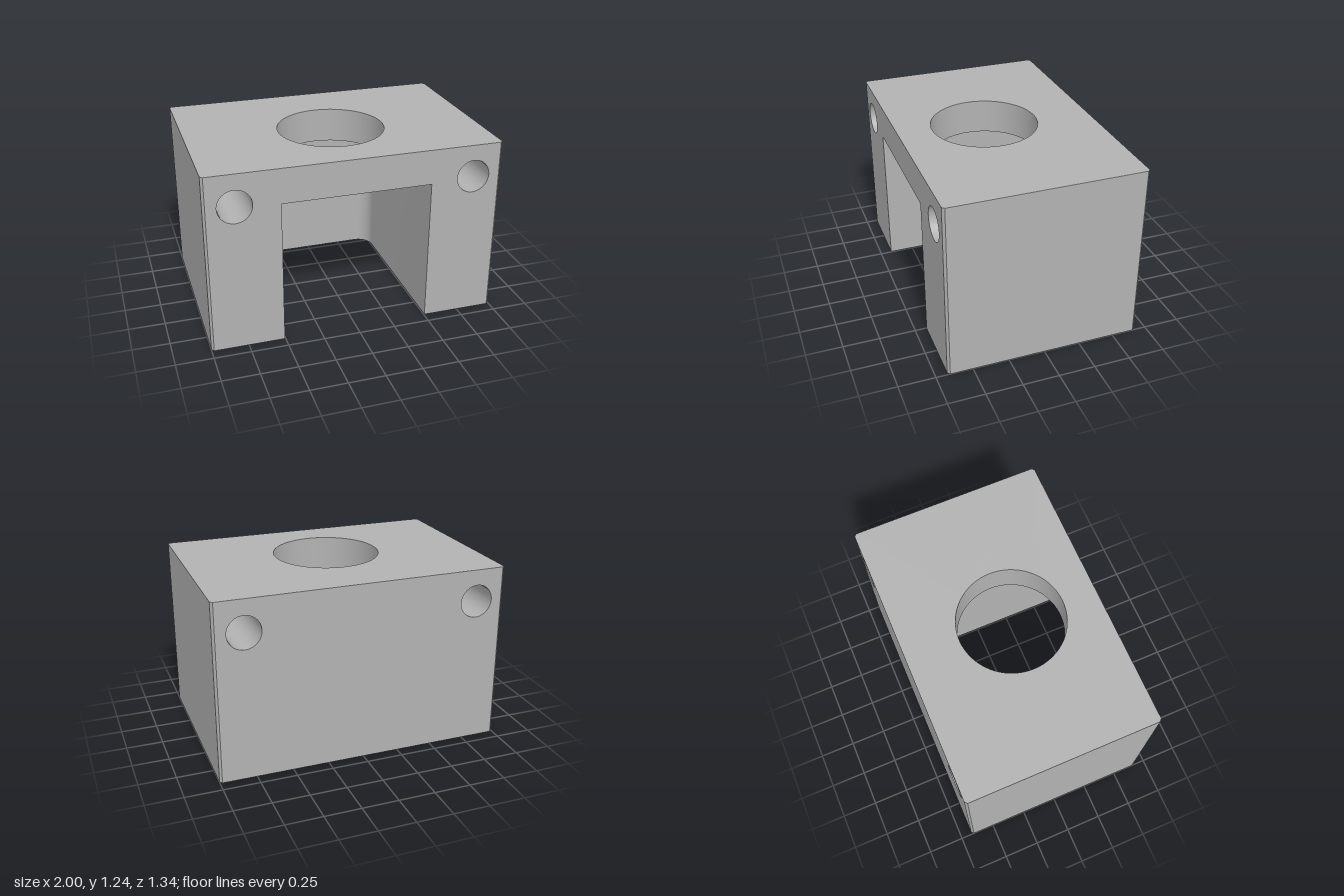
import * as THREE from 'three';
import { toCreasedNormals } from 'three/addons/utils/BufferGeometryUtils.js';

const W = 1, D = 0.67, H = 1.24, C = 0.016;               // half width, half depth, height, corner chamfer
const SLOT = { x: 0.505, top: 1.0, back: -0.537, r: 0.107 };
const BORE = { z: 0.067, r: 0.367 };
const BOLT = { x: 0.8, y: 1.02, r: 0.113 };
const SCREW = { x: 0.767, z: [-0.435, 0.312], r: 0.065, depth: 0.4 };

const v = (x, y) => new THREE.Vector2(x, y);

// Flat face from an outline and round holes [x, y, r]
function face(points, holes = []) {
  const shape = new THREE.Shape(points);
  for (const [x, y, r] of holes) shape.holes.push(new THREE.Path().absarc(x, y, r, 0, Math.PI * 2, true));
  return new THREE.ShapeGeometry(shape, 32);
}

// Upright wall along an (x, z) path, facing the path's right-hand side
function wall(path, y0, y1) {
  const pos = [];
  for (let i = 0; i < path.length - 1; i++) {
    const a = path[i], b = path[i + 1];
    pos.push(a.x, y0, a.y, b.x, y0, b.y, b.x, y1, b.y, a.x, y0, a.y, b.x, y1, b.y, a.x, y1, a.y);
  }
  const g = new THREE.BufferGeometry();
  g.setAttribute('position', new THREE.Float32BufferAttribute(pos, 3));
  return toCreasedNormals(g, 0.5);
}

// Inward-facing lining of a round hole along y, with an optional closed end
function lining(r, y0, y1, closed = false) {
  const profile = [v(r, y1), v(r, y0)];
  if (closed) profile.unshift(v(0, y1));
  return toCreasedNormals(new THREE.LatheGeometry(profile, 64), 0.5);
}

export function createModel() {
  const group = new THREE.Group();
  const grey = new THREE.MeshStandardMaterial({ color: 0xb2b2b2 });
  grey.name = 'plain grey';
  const add = (name, geometry) => {
    const mesh = new THREE.Mesh(geometry, grey);
    mesh.name = name;
    group.add(mesh);
  };

  // Slot path in (x, z): in along one leg, round the back corners, out along the other
  const { x: sx, back, r } = SLOT;
  const slot = [v(-sx, D)];
  for (const side of [-1, 1]) {
    for (let i = 0; i <= 10; i++) {
      const a = (side < 0 ? Math.PI : Math.PI * 1.5) + (i / 10) * Math.PI / 2;
      slot.push(v(side * (sx - r) + r * Math.cos(a), back + r + r * Math.sin(a)));
    }
  }
  slot.push(v(sx, D));

  // Chamfered ends in (x, z)
  const leftEnd = [v(W - C, D), v(W, D - C), v(W, C - D), v(W - C, -D)];
  const rightEnd = leftEnd.map(p => v(-p.x, -p.y));
  const bolts = [-1, 1].map(s => [s * BOLT.x, BOLT.y, BOLT.r]);
  const screws = [-1, 1].flatMap(s => SCREW.z.map(z => [s * SCREW.x, z, SCREW.r]));

  // Outer skin
  add('leftSide', wall(leftEnd, 0, H));
  add('rightSide', wall(rightEnd, 0, H));
  add('topFace', face([...leftEnd, ...rightEnd].map(p => v(p.x, -p.y)), [[0, -BORE.z, BORE.r]])
    .rotateX(-Math.PI / 2).translate(0, H, 0));
  add('bottomFace', face([...slot, ...leftEnd, ...rightEnd], screws).rotateX(Math.PI / 2));
  const e = W - C;
  add('frontFace', face([v(-e, 0), v(-sx, 0), v(-sx, SLOT.top), v(sx, SLOT.top), v(sx, 0), v(e, 0), v(e, H), v(-e, H)], bolts)
    .translate(0, 0, D));
  add('backFace', face([v(-e, 0), v(e, 0), v(e, H), v(-e, H)], bolts).rotateY(Math.PI).translate(0, 0, -D));

  // Slot between the legs
  add('slotWalls', wall(slot, 0, SLOT.top));
  add('slotCeiling', face(slot, [[0, BORE.z, BORE.r]]).rotateX(Math.PI / 2).translate(0, SLOT.top, 0));

  // Round holes
  add('topBore', lining(BORE.r, SLOT.top, H).translate(0, 0, BORE.z));
  for (const [x, y, br] of bolts) add('boltHole', lining(br, -D, D).rotateX(Math.PI / 2).translate(x, y, 0));
  for (const [x, z, sr] of screws) add('screwHole', lining(sr, 0, SCREW.depth, true).translate(x, 0, z));

  return group;
}
